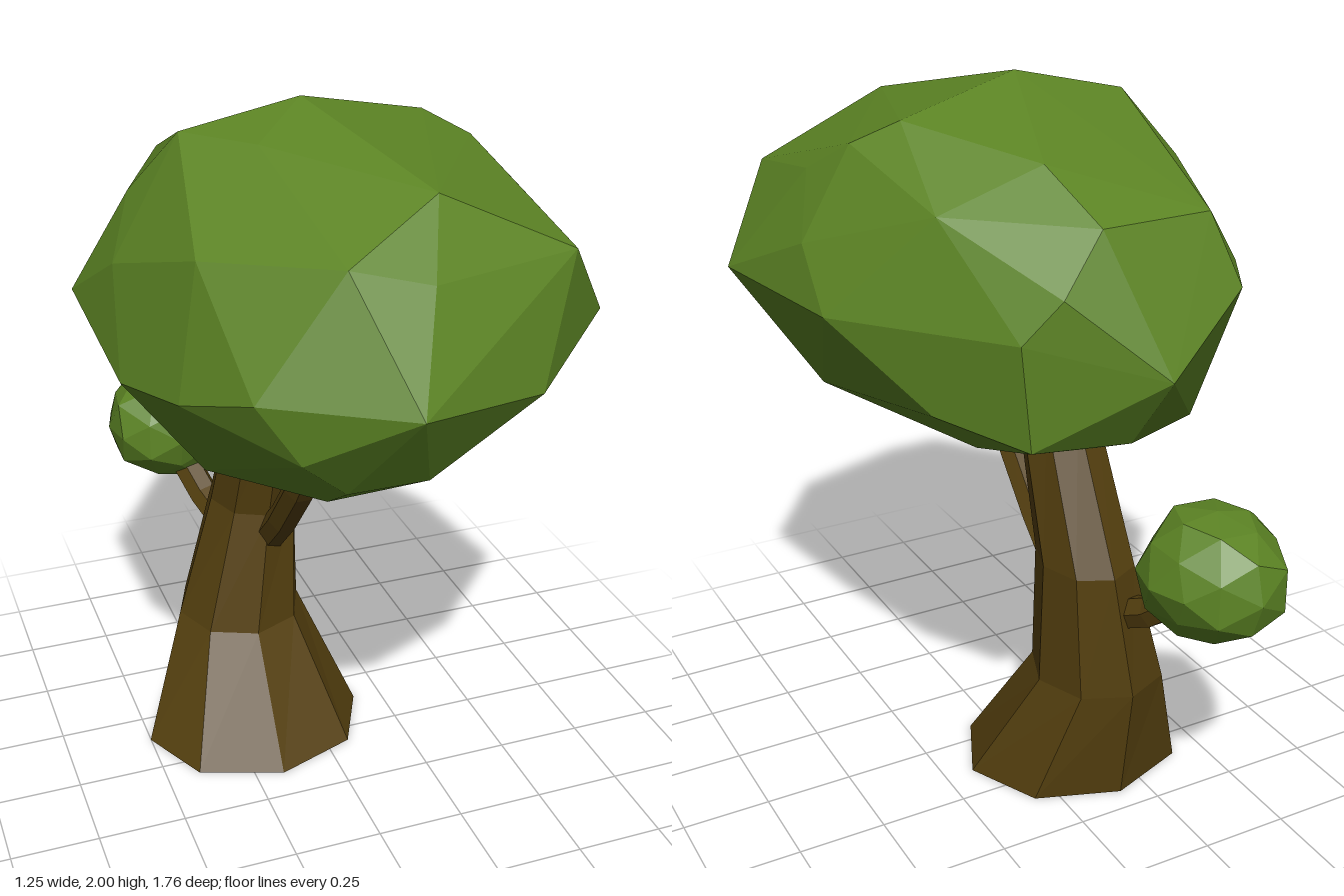
import * as THREE from 'three';
import { ConvexGeometry } from 'three/addons/geometries/ConvexGeometry.js';

const bark = new THREE.MeshStandardMaterial({ color: 0x55400f, flatShading: true });
const leaf = new THREE.MeshStandardMaterial({ color: 0x5c8424, flatShading: true });

function addMesh(group, name, geometry, material) {
  const mesh = new THREE.Mesh(geometry, material);
  mesh.name = name;
  group.add(mesh);
}

// Eight-sided trunk: each row of a cylinder is moved and scaled to a section.
function trunkGeometry() {
  const sections = [ // y, centre x, centre z, radius x, radius z
    [0, -0.168, -0.14, 0.333, 0.29],
    [0.35, -0.167, -0.278, 0.188, 0.198],
    [0.72, -0.113, -0.287, 0.13, 0.16],
    [1.14, -0.095, -0.145, 0.108, 0.12],
  ];
  const geometry = new THREE.CylinderGeometry(1, 1, 3, 8, 3);
  const p = geometry.attributes.position;
  for (let i = 0; i < p.count; i++) {
    const [y, cx, cz, rx, rz] = sections[Math.round(p.getY(i) + 1.5)];
    p.setXYZ(i, cx + p.getX(i) * rx, y, cz + p.getZ(i) * rz);
  }
  geometry.computeVertexNormals();
  return geometry;
}

function branchGeometry(points, radius) {
  const curve = new THREE.CatmullRomCurve3(points.map((q) => new THREE.Vector3(...q)));
  return new THREE.TubeGeometry(curve, 3, radius, 6);
}

// Crown: faceted hull of a few uneven rings, from the top down.
function crownGeometry() {
  const rings = [
    [[-0.07, 2, 0.05], [-0.38, 1.93, 0.02], [-0.23, 1.93, 0.2], [0.29, 1.92, -0.02], [0.09, 1.88, 0.55], [0.4, 1.86, 0.05], [0.07, 1.86, -0.36]],
    [[-0.18, 1.77, 0.68], [0.02, 1.72, 0.71], [0.45, 1.71, 0.57], [0.46, 1.77, 0.2], [0.33, 1.75, -0.3],
      [0.03, 1.75, -0.57], [-0.3, 1.74, -0.53], [-0.49, 1.76, -0.09], [-0.45, 1.73, 0.4]],
    [[-0.07, 1.47, 0.88], [0.31, 1.41, 0.71], [0.625, 1.47, 0.4], [0.54, 1.62, 0.05], [0.55, 1.47, -0.1], [0.25, 1.5, -0.58], [0.16, 1.61, -0.62],
      [-0.08, 1.4, -0.73], [-0.35, 1.56, -0.61], [-0.63, 1.47, -0.2], [-0.57, 1.62, 0.05], [-0.6, 1.36, 0.2], [-0.52, 1.4, 0.46], [-0.4, 1.47, 0.67]],
    [[-0.3, 1.32, 0.71], [-0.17, 1.2, 0.66], [0.02, 1.23, 0.71], [0.3, 1.23, 0.42], [0.46, 1.19, 0.15], [0.37, 1.26, -0.35],
      [0.22, 1.22, -0.58], [-0.05, 1.2, -0.6], [-0.32, 1.17, -0.46], [-0.5, 1.2, -0.05]],
    [[0.24, 1.08, 0.3], [0.13, 0.98, 0.2], [-0.05, 0.98, 0.06], [-0.19, 1.01, 0.15], [-0.15, 1.08, 0.47],
      [-0.39, 1.08, 0.2], [-0.1, 1.08, -0.36], [0.2, 1.1, -0.25]],
  ];
  return new ConvexGeometry(rings.flat().map((q) => new THREE.Vector3(...q)));
}

// Small leaf ball: a sphere of facets with each corner moved in or out a little.
function leafBallGeometry() {
  const geometry = new THREE.IcosahedronGeometry(1, 1);
  const p = geometry.attributes.position;
  const v = new THREE.Vector3();
  for (let i = 0; i < p.count; i++) {
    v.fromBufferAttribute(p, i);
    v.multiplyScalar(1 + 0.06 * Math.sin(7 * v.x + 11 * v.y + 5 * v.z));
    p.setXYZ(i, v.x, v.y, v.z);
  }
  geometry.scale(0.194, 0.186, 0.2).translate(-0.272, 0.818, -0.672);
  geometry.computeVertexNormals();
  return geometry;
}

export function createModel() {
  const tree = new THREE.Group();
  tree.name = 'tree';
  addMesh(tree, 'trunk', trunkGeometry(), bark);
  addMesh(tree, 'frontBranch', branchGeometry([[-0.1, 0.6, -0.2], [-0.09, 0.82, 0.01], [-0.08, 1.08, 0.19]], 0.047), bark);
  addMesh(tree, 'backBranch', branchGeometry([[-0.17, 0.57, -0.38], [-0.22, 0.65, -0.53], [-0.27, 0.8, -0.66]], 0.047), bark);
  addMesh(tree, 'crown', crownGeometry(), leaf);
  addMesh(tree, 'leafBall', leafBallGeometry(), leaf);
  return tree;
}
